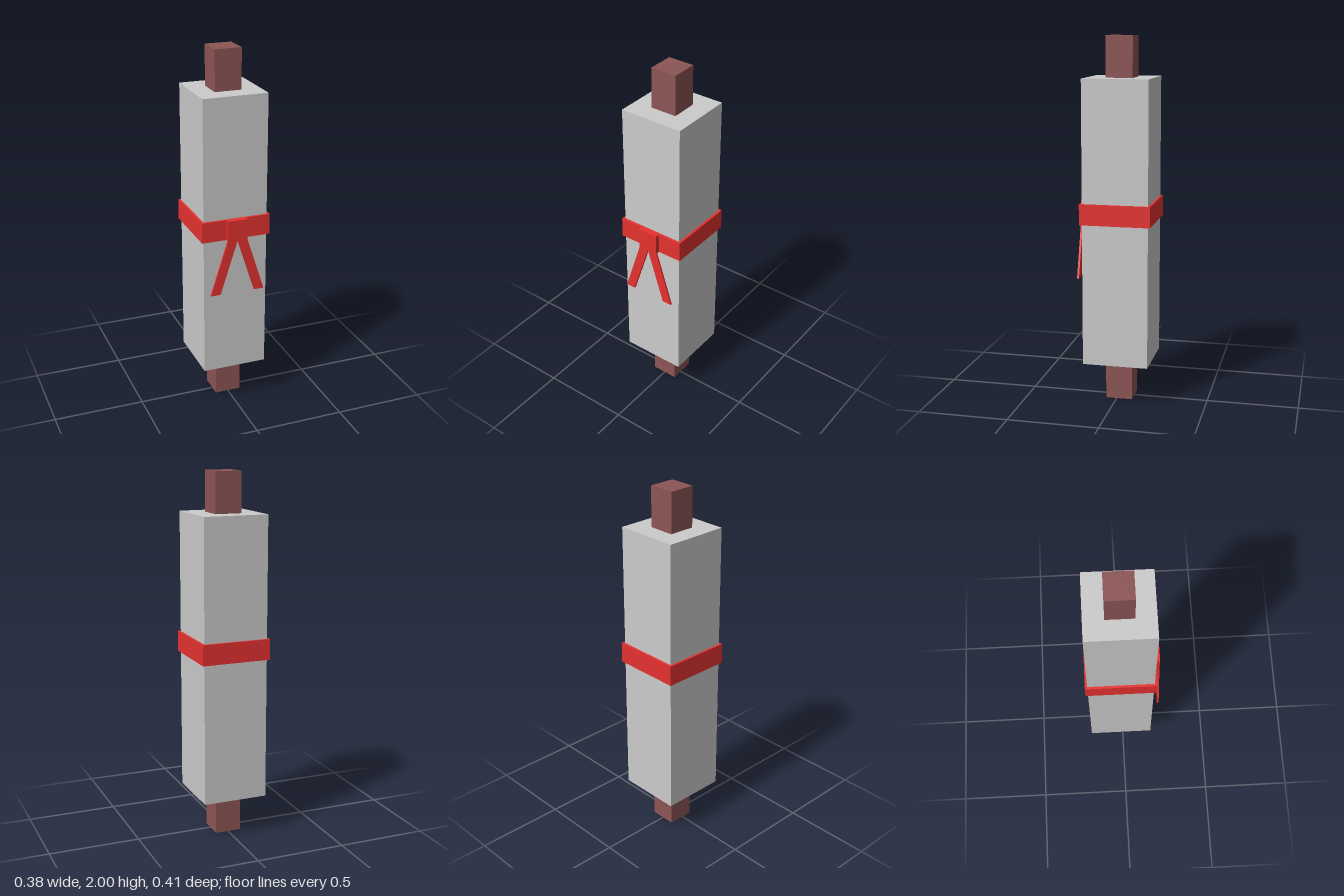
import * as THREE from 'three';

const mat = (color) => new THREE.MeshStandardMaterial({ color, flatShading: true });

export function createModel() {
  const model = new THREE.Group();
  model.name = 'wrappedScroll';
  const grey = mat(0xcccccc), wood = mat(0x8d5555), red = mat(0xe63230);
  const axisZ = -0.0135; // the roll sits slightly behind centre, making room for the bow

  const add = (name, geometry, material, x, y, z) => {
    const mesh = new THREE.Mesh(geometry, material);
    mesh.name = name;
    mesh.position.set(x, y, z);
    model.add(mesh);
  };

  // Square rod running through the roll, showing at both ends
  add('rod', new THREE.BoxGeometry(0.147, 2, 0.147), wood, 0, 1, axisZ);

  // Main body of the roll
  add('roll', new THREE.BoxGeometry(0.359, 1.555, 0.359), grey, 0, 1.0025, axisZ);

  // Ribbon band around the middle, with a flat knot on the front
  add('ribbonBand', new THREE.BoxGeometry(0.385, 0.113, 0.385), red, 0, 1.0615, axisZ);
  add('ribbonKnot', new THREE.BoxGeometry(0.111, 0.113, 0.03), red, 0, 1.0615, 0.188);

  // Two slanted ribbon tails, mirrored left and right
  for (const side of [1, -1]) {
    const tail = new THREE.Shape([
      [0, 1.005], [0.055, 1.005], [0.152, 0.7], [0.098, 0.7],
    ].map(([x, y]) => new THREE.Vector2(side * x, y)));
    const geometry = new THREE.ExtrudeGeometry(tail, { depth: 0.011, bevelEnabled: false });
    add(side > 0 ? 'leftTail' : 'rightTail', geometry, red, 0, 0, 0.192);
  }

  return model;
}
